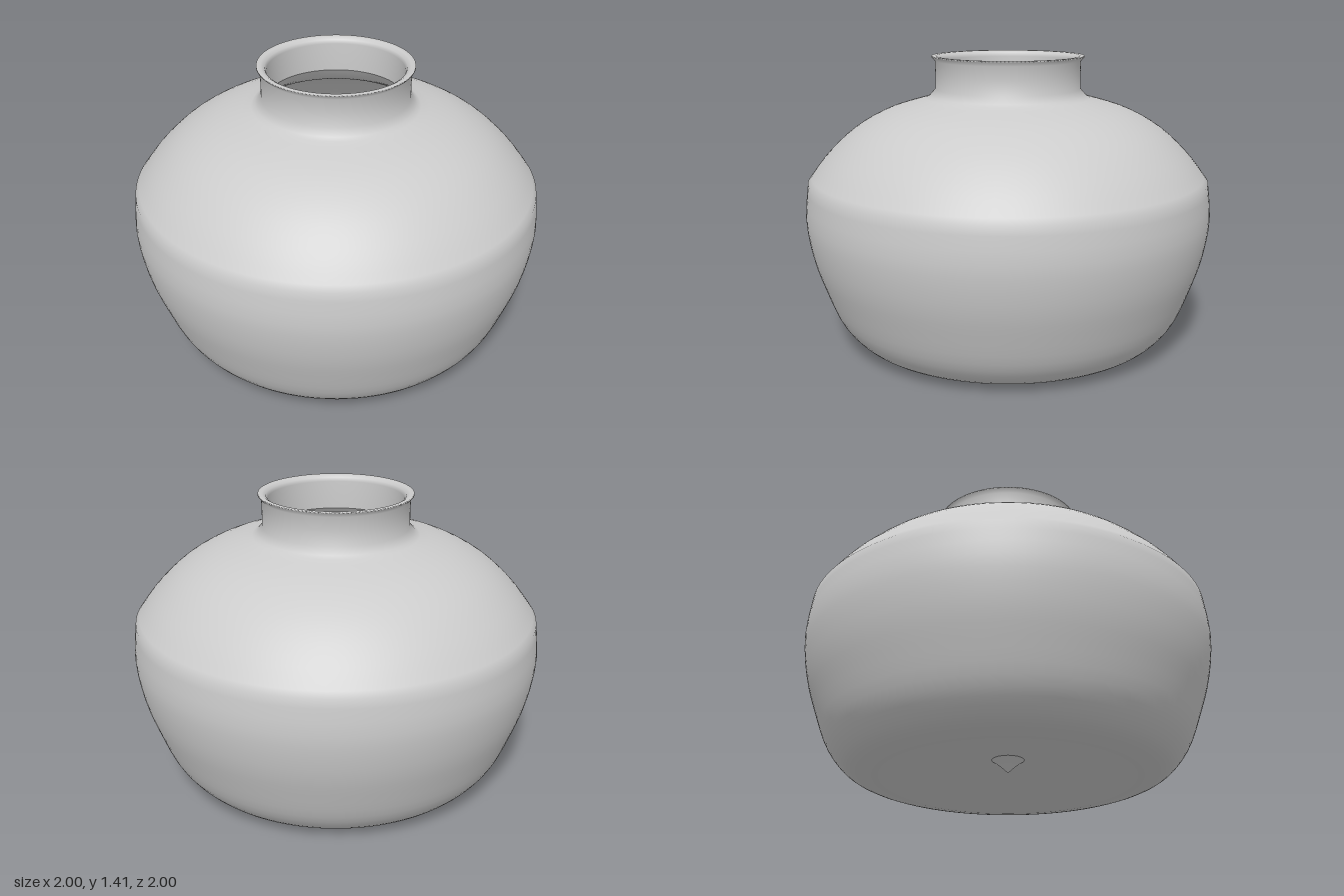
import * as THREE from 'three';

const material = new THREE.MeshStandardMaterial({ color: 0xcccccc, side: THREE.DoubleSide });

// Smooth run through a few [radius, height] points
const curve = (pts, n) =>
  new THREE.SplineCurve(pts.map(([r, y]) => new THREE.Vector2(r, y))).getPoints(n);

// Joins runs into one profile, dropping the shared end points, and spins it
function spin(name, runs) {
  const profile = runs.flatMap((run, i) => (i ? run.slice(1) : run));
  const mesh = new THREE.Mesh(new THREE.LatheGeometry(profile, 128), material);
  mesh.name = name;
  return mesh;
}

export function createModel() {
  const model = new THREE.Group();
  model.name = 'jar';

  // Hollowed base, rounded belly and domed shoulder
  const base = curve([[0.077, 0.1], [0.25, 0.062], [0.45, 0.022], [0.63, 0]], 12);
  const belly = curve([[0.63, 0], [0.715, 0.014], [0.79, 0.055], [0.865, 0.15], [0.925, 0.3],
    [0.975, 0.46], [1, 0.64], [0.983, 0.815]], 22);
  const shoulder = curve([[0.983, 0.815], [0.89, 0.935], [0.76, 1.055], [0.6, 1.145], [0.405, 1.205]], 14);

  // Neck with a small foot and a flared lip
  const neck = [[0.405, 1.205], [0.385, 1.217], [0.356, 1.25], [0.355, 1.32], [0.356, 1.385], [0.372, 1.403],
    [0.371, 1.41], [0.35, 1.409], [0.333, 1.398], [0.326, 1.38], [0.326, 1.24]]
    .map(([r, y]) => new THREE.Vector2(r, y));

  // Inner wall, ending in a pointed floor whose tip dips through the base
  const wall = curve([[0.326, 1.24], [0.4, 1.16], [0.58, 1.095], [0.73, 1.015], [0.86, 0.895], [0.94, 0.79],
    [0.955, 0.64], [0.93, 0.46], [0.88, 0.33], [0.8, 0.26]], 26);
  const floor = curve([[0.8, 0.26], [0.65, 0.225], [0.45, 0.2], [0.22, 0.165], [0.077, 0.1], [0, 0.036]], 12);

  model.add(
    spin('outerBody', [base, belly, shoulder, neck]),
    spin('innerWall', [wall, floor]),
  );
  return model;
}
